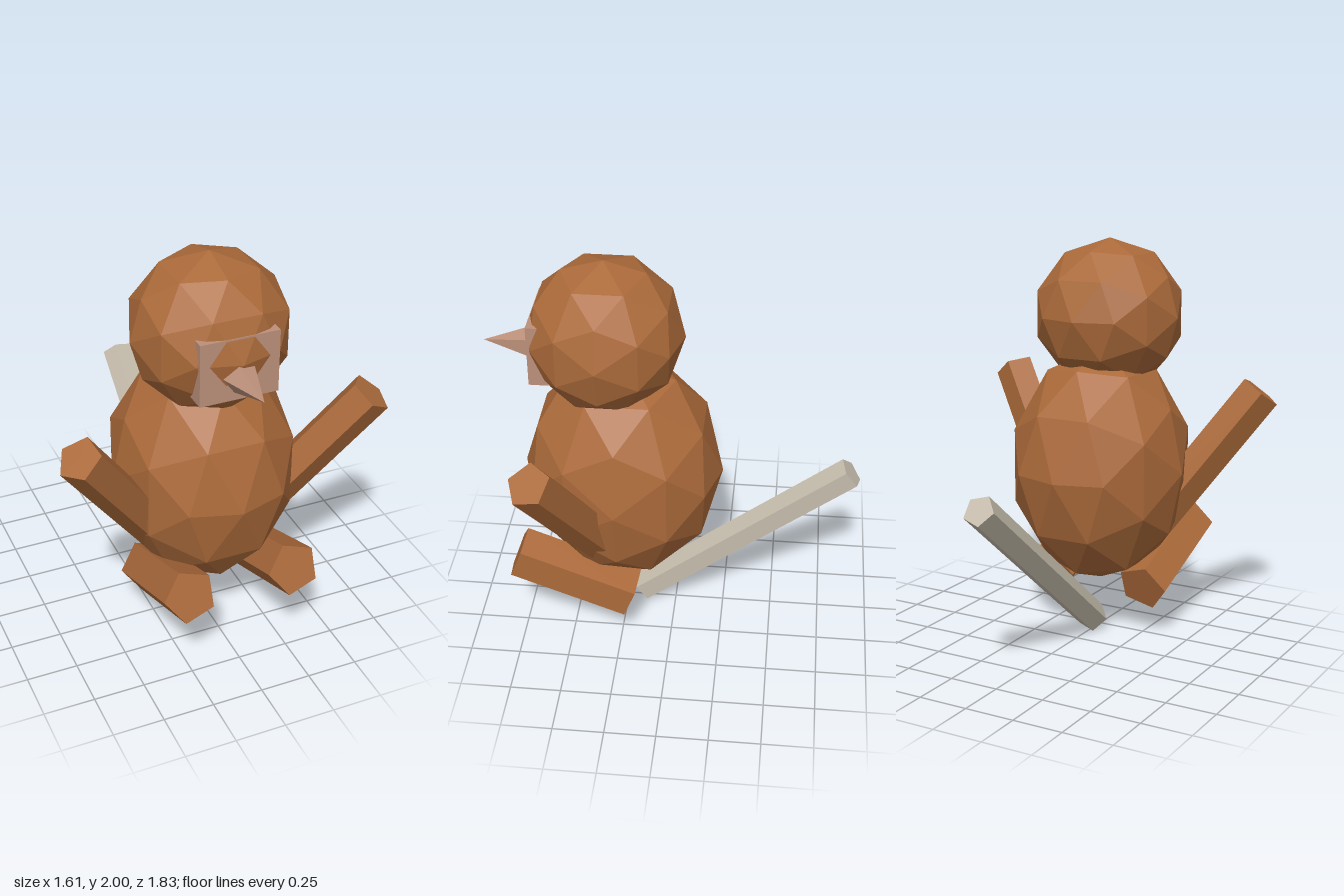
import * as THREE from 'three';

const paint = (name, color) => {
  const m = new THREE.MeshStandardMaterial({ color, flatShading: true });
  m.name = name;
  return m;
};

export function createModel() {
  const model = new THREE.Group();
  const fur = paint('brown fur', 0xab6a3a);
  const skin = paint('pale skin', 0xbc907a);
  const tailGrey = paint('tail grey', 0xc4bbab);

  const add = (name, geometry, material, x, y, z) => {
    const mesh = new THREE.Mesh(geometry, material);
    mesh.name = name;
    mesh.position.set(x, y, z);
    model.add(mesh);
    return mesh;
  };

  // Faceted ball, stretched along each axis
  const ball = (rx, ry, rz) =>
    new THREE.IcosahedronGeometry(1, 1).rotateY(Math.PI / 2).scale(rx, ry, rz);

  // Five-sided rod with one edge towards -x
  const rod = (rTop, rBottom, length) =>
    new THREE.CylinderGeometry(rTop, rBottom, length, 5, 1, false, -Math.PI / 2);

  add('body', ball(0.453, 0.605, 0.493), fur, 0, 0.86, 0.258);
  add('head', ball(0.38, 0.38, 0.38), fur, 0, 1.62, 0.333);

  // Face plate sunk into the head, with a pointed nose
  add('facePlate', new THREE.BoxGeometry(0.38, 0.305, 0.13), skin, 0, 1.583, 0.607);
  add('nose', rod(0, 0.108, 0.32), skin, 0, 1.548, 0.755).rotation.x = Math.PI / 2;

  for (const [side, s] of [['left', 1], ['right', -1]]) {
    // Raised arm: leaned forwards, then outwards
    const length = 0.95;
    const turn = new THREE.Euler(0.3, 0, -0.6 * s, 'ZYX');
    const arm = add(side + 'Arm', rod(0.108, 0.108, length), fur, 0.72 * s, 1.25, 0.59);
    arm.rotation.copy(turn);
    arm.position.add(new THREE.Vector3(0, -length / 2, 0).applyEuler(turn));

    // Leg stretched forwards
    add(side + 'Leg', rod(0.131, 0.131, 0.606), fur, 0.267 * s, 0.367, 0.482).rotation.x = 1.2;
  }

  add('tail', rod(0.079, 0.079, 1.33), tailGrey, 0, 0.474, -0.347).rotation.x = -0.9;

  return model;
}
